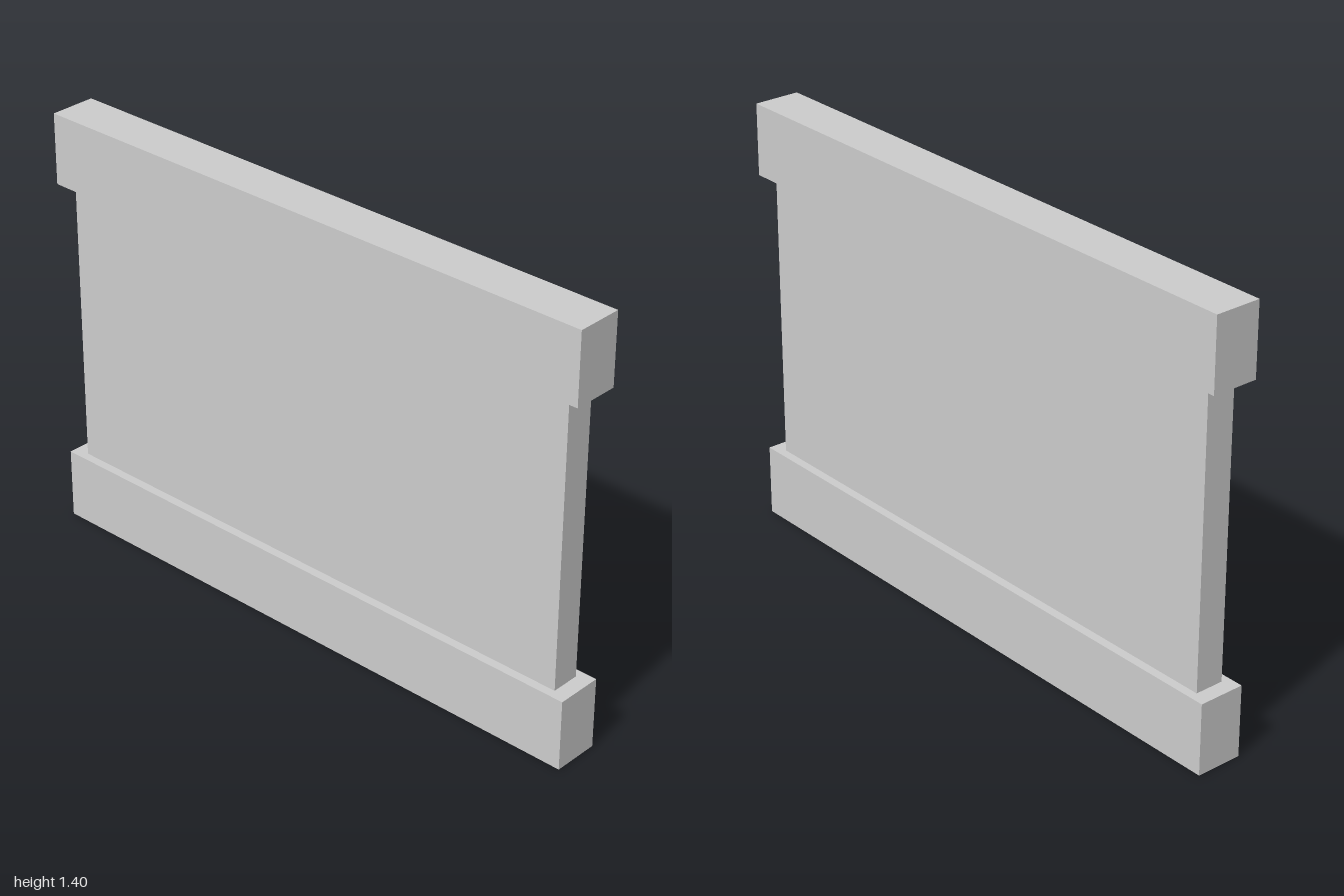
import * as THREE from 'three';

export function createModel() {
  const group = new THREE.Group();
  const material = new THREE.MeshStandardMaterial({ color: 0xcccccc, flatShading: true });

  const height = 1.403;
  const railHeight = 0.232;

  function addBox(name, width, boxHeight, depth, bottom) {
    const mesh = new THREE.Mesh(new THREE.BoxGeometry(width, boxHeight, depth), material);
    mesh.name = name;
    mesh.position.y = bottom + boxHeight / 2;
    group.add(mesh);
  }

  // Thick rails along the bottom and top
  addBox('bottomRail', 2, railHeight, 0.152, 0);
  addBox('topRail', 2, railHeight, 0.152, height - railHeight);

  // Thinner, slightly narrower panel between the rails
  addBox('panel', 1.9, height - 2 * railHeight, 0.095, railHeight);

  return group;
}
